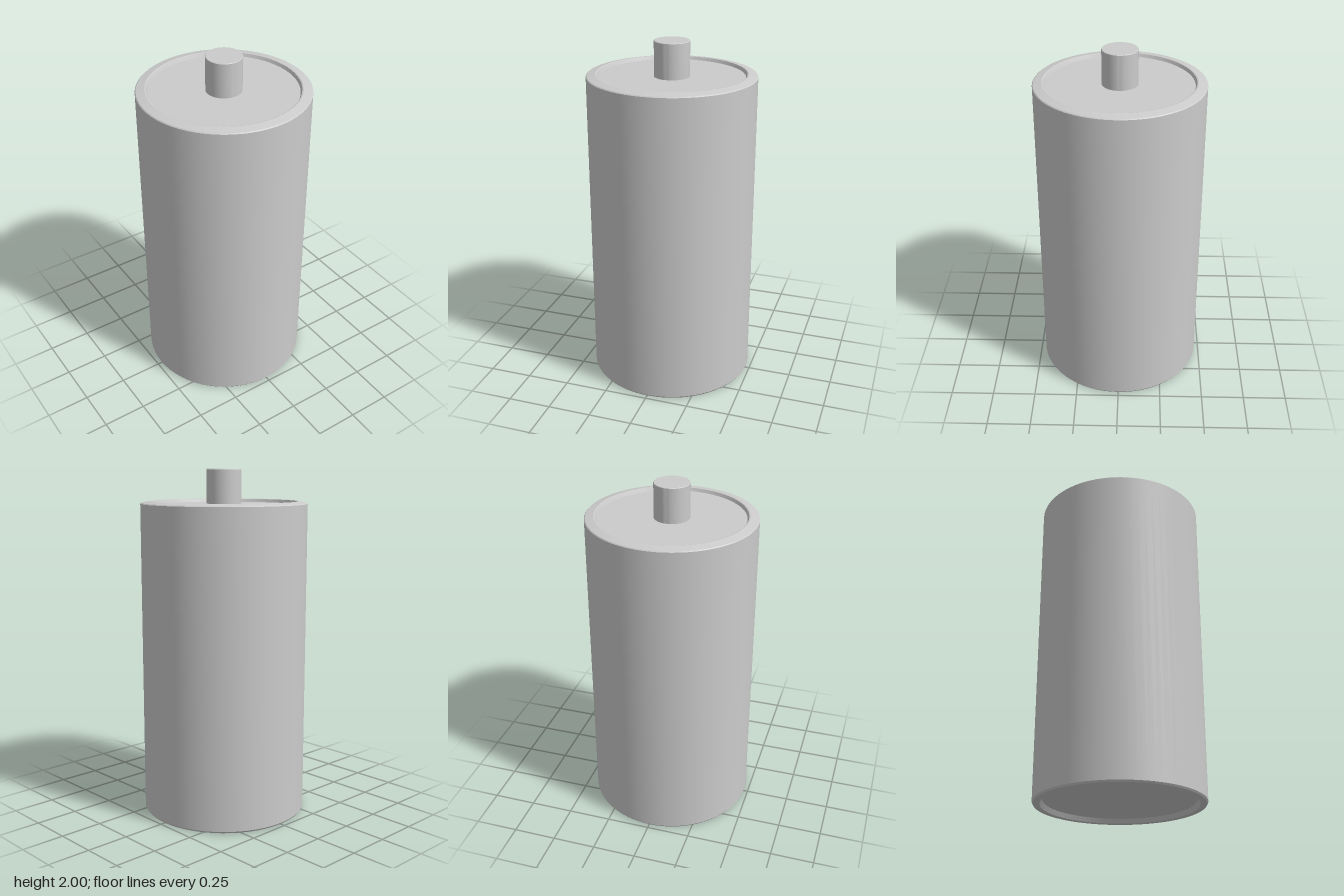
import * as THREE from 'three';
import { toCreasedNormals } from 'three/addons/utils/BufferGeometryUtils.js';

const SEGMENTS = 64;

// Turned part: smooth around the axis, crisp at the profile's corners
function turned(name, profile, material) {
  const points = profile.map(([r, y]) => new THREE.Vector2(r, y));
  const geometry = toCreasedNormals(new THREE.LatheGeometry(points, SEGMENTS), 0.3);
  const mesh = new THREE.Mesh(geometry, material);
  mesh.name = name;
  return mesh;
}

export function createModel() {
  const group = new THREE.Group();
  group.name = 'cylinderCell';
  const material = new THREE.MeshStandardMaterial({ color: 0xcccccc });

  // Casing: recessed base, straight wall, sloped top rim and sunken lid
  group.add(turned('casing', [
    [0, 0.025],
    [0.42, 0.025],
    [0.435, 0],
    [0.47, 0],
    [0.477, 0.01],
    [0.477, 1.805],
    [0.472, 1.81],
    [0.425, 1.82],
    [0.418, 1.818],
    [0.41, 1.8],
    [0, 1.8],
  ], material));

  // Terminal post in the middle of the lid
  group.add(turned('terminalPost', [
    [0.1, 1.795],
    [0.1, 1.997],
    [0.097, 2],
    [0, 2],
  ], material));

  return group;
}
